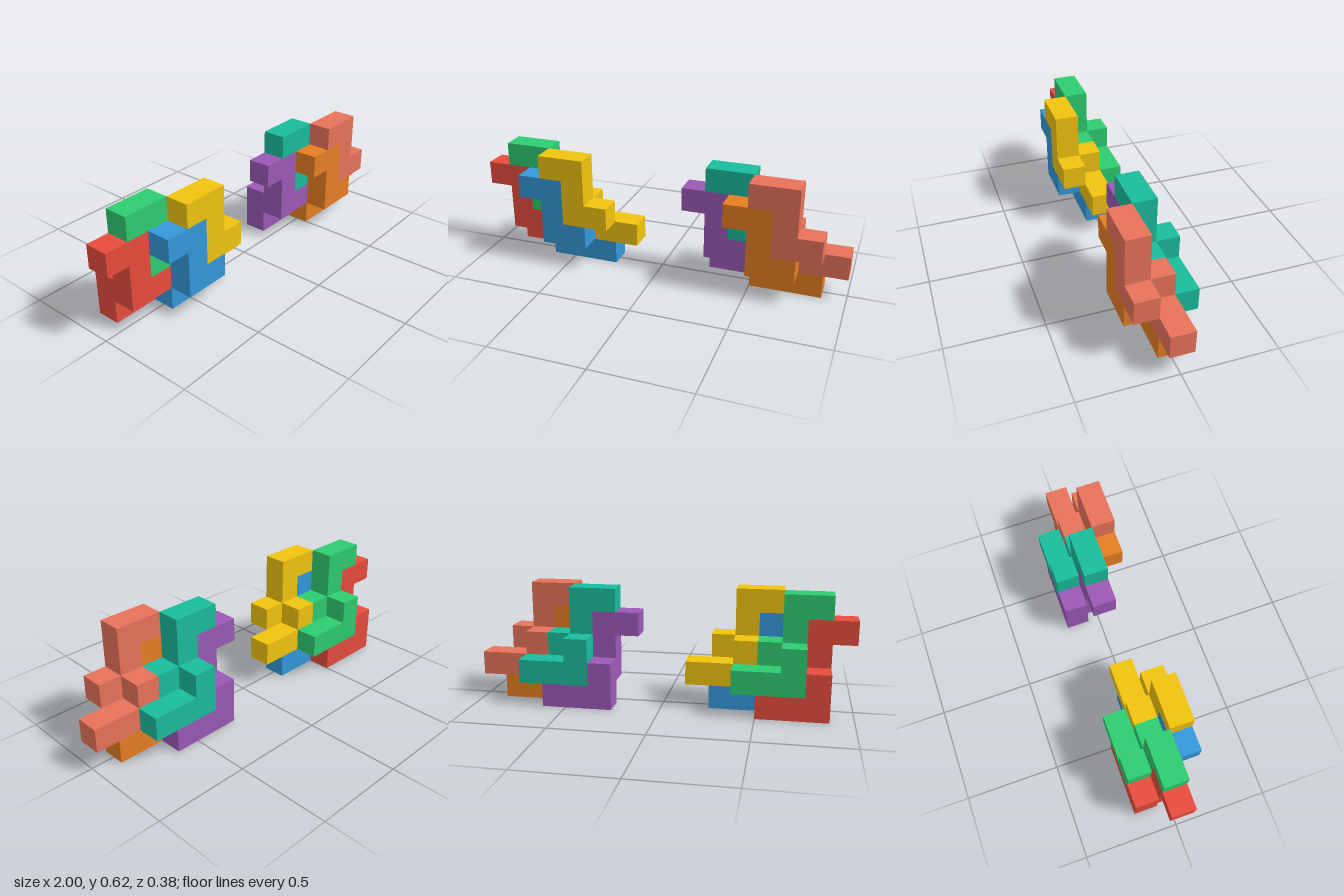
import * as THREE from 'three';

const U = 0.125; // edge of one unit cube

// One-unit-thick slab from an outline in cube units, back face at z
function slab(points, z) {
  const shape = new THREE.Shape(points.map(([x, y]) => new THREE.Vector2(x * U, y * U)));
  return new THREE.ExtrudeGeometry(shape, { depth: U, bevelEnabled: false }).translate(0, 0, z * U);
}

// Every puzzle piece is the same: a Z-shaped front layer and an L-shaped back layer
const zOutline = [[0, 3], [1, 3], [1, 1], [3, 1], [3, 2], [2, 2], [2, 4], [0, 4]];
const lOutline = [[1, 0], [4, 0], [4, 1], [2, 1], [2, 2], [1, 2]];

function makePiece(name, color, geometries) {
  const piece = new THREE.Group();
  piece.name = name;
  const material = new THREE.MeshStandardMaterial({ color });
  ['frontLayer', 'backLayer'].forEach((layer, i) => {
    const mesh = new THREE.Mesh(geometries[i], material);
    mesh.name = layer;
    piece.add(mesh);
  });
  return piece;
}

export function createModel() {
  const model = new THREE.Group();
  model.name = 'interlockingPuzzles';
  const geometries = [slab(zOutline, -0.5), slab(lOutline, -1.5)];

  // Offsets of the four pieces within an assembly, in cubes
  const places = [
    ['backLowerPiece', 0, 0, 0],
    ['frontLowerPiece', 2, 0, 1],
    ['backUpperPiece', 1, 1, 0],
    ['frontUpperPiece', 3, 1, 1],
  ];

  // Two identical assemblies side by side, in different colours
  const assemblies = [
    ['rightAssembly', -1, [0xe74c3c, 0x3498db, 0x2ecc71, 0xf1c40f]],
    ['leftAssembly', 0.125, [0x9b59b6, 0xe67e22, 0x1abc9c, 0xe8735a]],
  ];
  for (const [name, startX, colors] of assemblies) {
    const assembly = new THREE.Group();
    assembly.name = name;
    assembly.position.x = startX;
    places.forEach(([pieceName, x, y, z], i) => {
      const piece = makePiece(pieceName, colors[i], geometries);
      piece.position.set(x * U, y * U, z * U);
      assembly.add(piece);
    });
    model.add(assembly);
  }
  return model;
}
